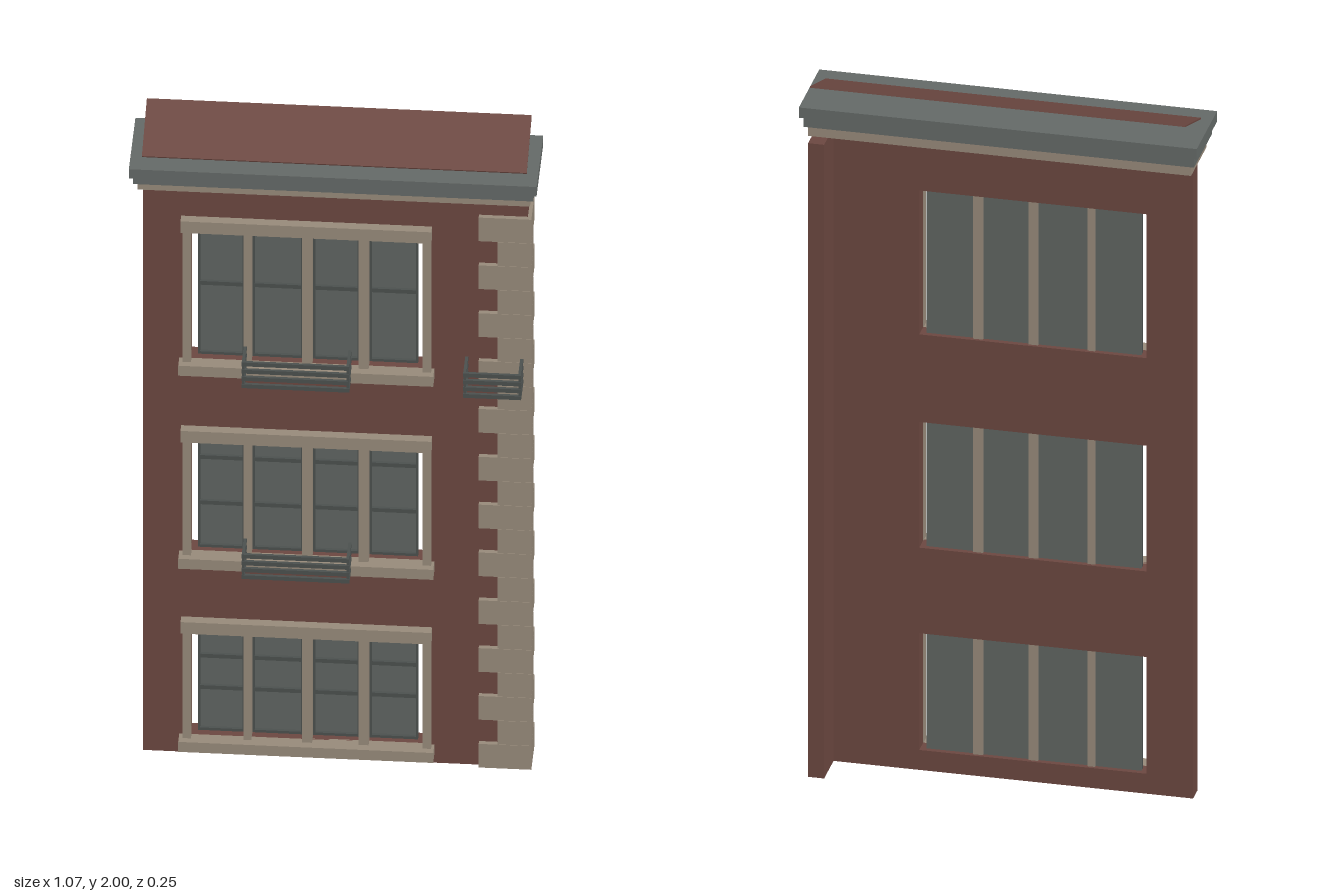
import * as THREE from 'three';

const paint = (name, color) => {
  const m = new THREE.MeshStandardMaterial({ color });
  m.name = name;
  return m;
};

export function createModel() {
  const model = new THREE.Group();
  model.name = 'townhouseFacade';
  const brick = paint('brick', 0x6b4740);
  const stone = paint('stone', 0x978a7a);
  const glass = paint('glass', 0x5f6461);
  const slate = paint('slateGrey', 0x646967);
  const iron = paint('iron', 0x4b504e);

  // box given by its limits on each axis
  const box = (parent, name, mat, x0, x1, y0, y1, z0, z1) => {
    const mesh = new THREE.Mesh(new THREE.BoxGeometry(x1 - x0, y1 - y0, z1 - z0), mat);
    mesh.position.set((x0 + x1) / 2, (y0 + y1) / 2, (z0 + z1) / 2);
    mesh.name = name;
    parent.add(mesh);
    return mesh;
  };
  const group = (name) => {
    const g = new THREE.Group();
    g.name = name;
    model.add(g);
    return g;
  };

  // one entry per storey: glazing bottom and top, heights of the sash rails
  const storeys = [
    { y0: 0.058, y1: 0.398, rails: [0.196, 0.297] },
    { y0: 0.647, y1: 1.013, rails: [0.79, 0.936] },
    { y0: 1.268, y1: 1.687, rails: [1.496] },
  ];
  const wallTop = 1.845;

  // front wall with window openings
  const wall = new THREE.Shape([[-0.505, 0], [0.503, 0], [0.503, wallTop], [-0.505, wallTop]]
    .map(([x, y]) => new THREE.Vector2(x, y)));
  for (const { y0, y1 } of storeys) {
    wall.holes.push(new THREE.Path([[-0.38, y0], [-0.38, y1], [0.23, y1], [0.23, y0]]
      .map(([x, y]) => new THREE.Vector2(x, y))));
  }
  const wallGeo = new THREE.ExtrudeGeometry(wall, { depth: 0.05, bevelEnabled: false });
  wallGeo.translate(0, 0, -0.02);
  const wallMesh = new THREE.Mesh(wallGeo, brick);
  wallMesh.name = 'frontWall';
  model.add(wallMesh);

  // short return wall on the left end
  box(model, 'returnWall', brick, 0.46, 0.503, 0, wallTop, -0.127, -0.02);

  // windows: stone surround, mullions, glass and sash bars
  const panes = [[-0.363, -0.24], [-0.22, -0.087], [-0.061, 0.061], [0.087, 0.214]];
  for (const { y0, y1, rails } of storeys) {
    const w = group('window');
    box(w, 'lintel', stone, -0.405, 0.252, y1, y1 + 0.037, 0.025, 0.056);
    box(w, 'sill', stone, -0.41, 0.258, y0 - 0.032, y0, 0.025, 0.068);
    box(w, 'jamb', stone, -0.4, -0.378, y0, y1, 0.025, 0.05);
    box(w, 'jamb', stone, 0.229, 0.251, y0, y1, 0.025, 0.05);
    for (let i = 0; i < 3; i++) {
      box(w, 'mullion', stone, panes[i][1], panes[i + 1][0], y0, y1, -0.012, 0.046);
    }
    for (const [x0, x1] of panes) {
      box(w, 'pane', glass, x0, x1, y0, y1, -0.006, 0.002);
      for (const y of rails) box(w, 'sashRail', iron, x0, x1, y - 0.006, y + 0.006, 0.002, 0.01);
      for (const y of [y0, y1 - 0.008]) box(w, 'sashRail', iron, x0, x1, y, y + 0.008, 0.002, 0.01);
      for (const x of [x0, x1 - 0.006]) box(w, 'sashStile', iron, x, x + 0.006, y0, y1, 0.002, 0.01);
    }
  }

  // corner stones, alternately long and short, wrapped around the corner
  const quoins = group('quoins');
  const courses = 23, step = 1.77 / courses;
  for (let i = 0; i < courses; i++) {
    const long = i % 2 === 0;
    const a = i * step, b = a + step - 0.001;
    box(quoins, 'quoinFront', stone, long ? 0.375 : 0.425, 0.513, a, b, 0.03, 0.043);
    box(quoins, 'quoinSide', stone, 0.503, 0.513, a, b, long ? -0.065 : -0.025, 0.03);
  }

  // railings: four bars on three sides, with corner posts
  const addRailing = (x0, x1, y0, y1) => {
    const r = group('railing');
    const z0 = 0.043, z1 = 0.119, t = 0.008, h = 0.012;
    for (let i = 0; i < 4; i++) {
      const y = y0 + (i * (y1 - y0 - h)) / 3;
      box(r, 'frontBar', iron, x0, x1, y, y + h, z1 - t, z1);
      box(r, 'endBar', iron, x0, x0 + t, y, y + h, z0, z1 - t);
      box(r, 'endBar', iron, x1 - t, x1, y, y + h, z0, z1 - t);
    }
    for (const x of [x0 + 0.001, x1 - t + 0.001]) {
      box(r, 'post', iron, x, x + t - 0.002, y0, y1, z1 - t + 0.001, z1 - 0.002);
      box(r, 'post', iron, x, x + t - 0.002, y0, y1, z0, z0 + t);
    }
  };
  addRailing(-0.24, 0.042, 0.628, 0.706);
  addRailing(-0.24, 0.042, 1.242, 1.324);
  addRailing(0.34, 0.492, 1.242, 1.32);

  // stepped cornice
  const cornice = group('cornice');
  box(cornice, 'corniceLower', stone, -0.515, 0.513, 1.845, 1.875, -0.085, 0.09);
  box(cornice, 'corniceMiddle', slate, -0.525, 0.523, 1.875, 1.905, -0.095, 0.108);
  box(cornice, 'corniceTop', slate, -0.535, 0.533, 1.905, 1.935, -0.105, 0.126);

  // thin sloping roof sheet, rising towards the back
  const front = [0.07, 1.937], back = [-0.105, 1.998];
  const run = front[0] - back[0], rise = back[1] - front[1];
  const roof = new THREE.Mesh(new THREE.BoxGeometry(1.008, 0.004, Math.hypot(run, rise)), brick);
  roof.position.set(-0.001, (front[1] + back[1]) / 2, (front[0] + back[0]) / 2);
  roof.rotation.x = Math.atan2(rise, run);
  roof.name = 'roofSheet';
  model.add(roof);

  return model;
}
